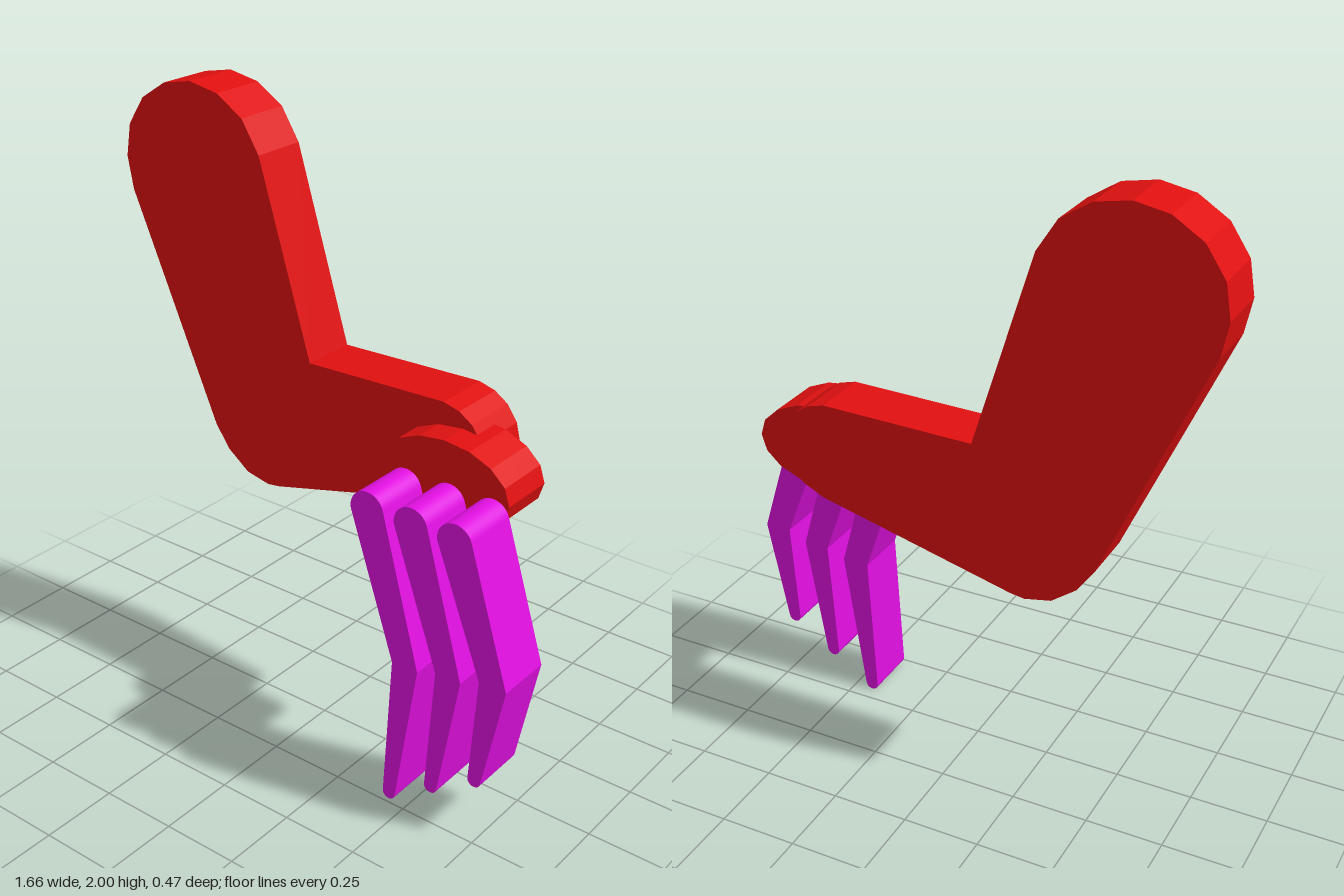
import * as THREE from 'three';

const DEPTH = 0.186;

export function createModel() {
  const red = new THREE.MeshStandardMaterial({ name: 'red', color: 0xe01010 });
  const magenta = new THREE.MeshStandardMaterial({ name: 'magenta', color: 0xe010e0 });
  const model = new THREE.Group();
  model.name = 'arm';

  // Flat slab of constant depth, starting at the given back z
  function slab(name, shape, back, material) {
    const geometry = new THREE.ExtrudeGeometry(shape, {
      depth: DEPTH, bevelEnabled: false, curveSegments: 12,
    });
    geometry.translate(0, 0, back);
    const mesh = new THREE.Mesh(geometry, material);
    mesh.name = name;
    model.add(mesh);
  }

  // Bent arm: rounded shoulder, elbow and wrist
  const armOutline = [
    [-0.555, 2], [-0.66, 1.98], [-0.754, 1.92], [-0.815, 1.828], [-0.833, 1.722], [-0.812, 1.617],
    [-0.489, 0.886], [-0.436, 0.812], [-0.358, 0.754], [-0.272, 0.736], [-0.225, 0.743],
    [0.41, 0.905], [0.48, 0.94], [0.53, 1.0], [0.545, 1.065], [0.53, 1.125], [0.495, 1.175],
    [0.45, 1.205], [0.395, 1.22], [-0.098, 1.207],
    [-0.288, 1.82], [-0.352, 1.92], [-0.447, 1.98],
  ].map(([x, y]) => new THREE.Vector2(x, y));
  slab('upperAndLowerArm', new THREE.Shape(armOutline), -0.236, red);

  // Oval palm with faceted rim
  const palmOutline = Array.from({ length: 16 }, (_, i) => {
    const a = (i / 16) * Math.PI * 2;
    return new THREE.Vector2(0.465 + 0.225 * Math.cos(a), 1.015 + 0.14 * Math.sin(a));
  });
  slab('palm', new THREE.Shape(palmOutline), -0.141, red);

  // Three bent claws: knuckle x, elbow left x, elbow right x, elbow y, tip x, tip y
  const claws = [
    [0.338, 0.437, 0.527, 0.497, 0.435, 0.022],
    [0.49, 0.59, 0.676, 0.522, 0.586, 0.118],
    [0.638, 0.738, 0.828, 0.554, 0.737, 0.212],
  ];
  claws.forEach(([kx, left, right, ey, tx, ty], i) => {
    const shape = new THREE.Shape();
    shape.absarc(kx, 0.969, 0.058, 0.27, Math.PI + 0.2, false);
    shape.lineTo(left, ey);
    shape.absarc(tx, ty, 0.022, Math.PI, Math.PI * 2 - 0.15, false);
    shape.lineTo(right, ey);
    shape.closePath();
    slab(`claw${i + 1}`, shape, 0.049, magenta);
  });

  return model;
}
